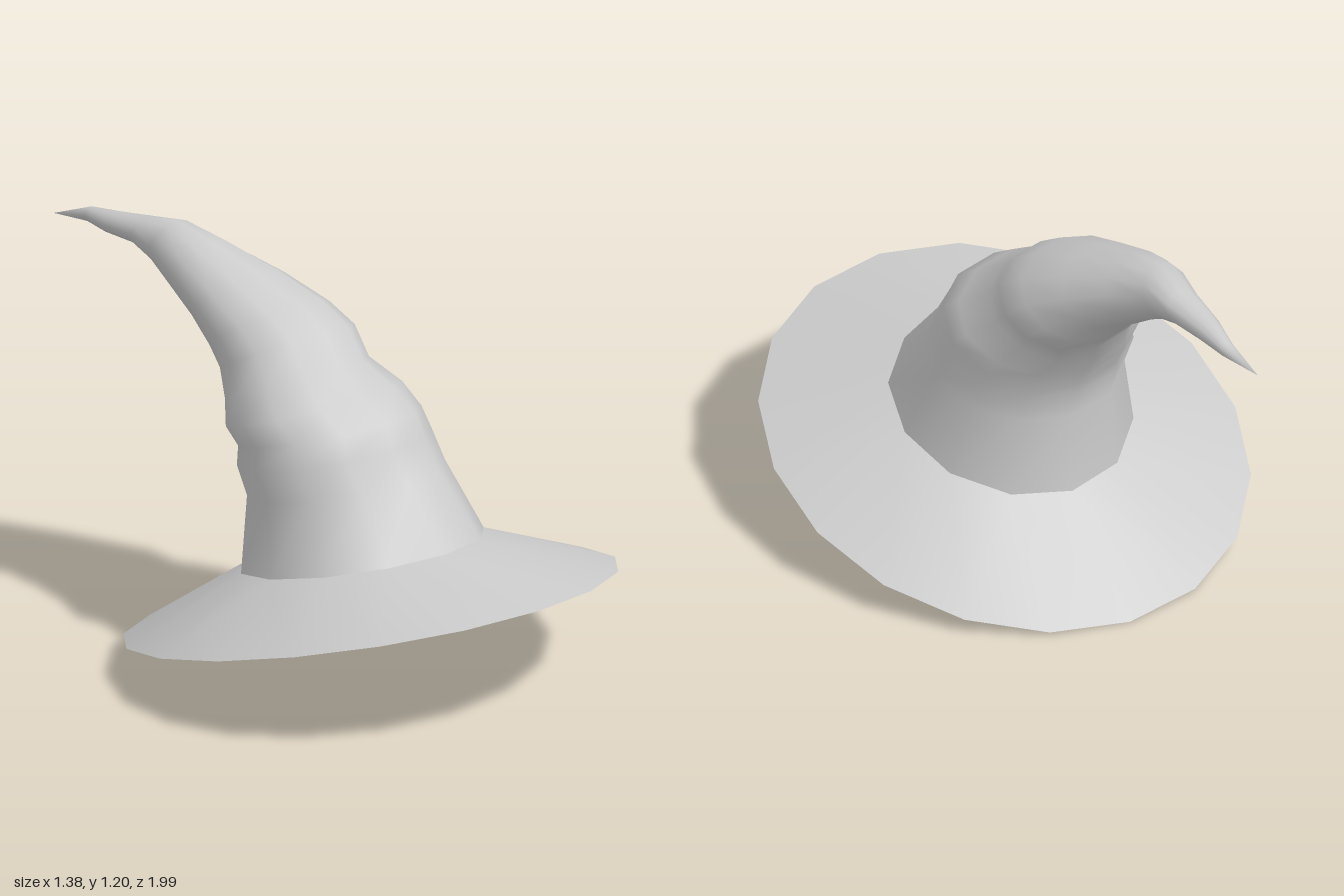
import * as THREE from 'three';

const SIDES = 12;
const material = new THREE.MeshStandardMaterial({ color: 0xcccccc, side: THREE.DoubleSide });

// Tilted elliptical ring: [front z, front y, back z, back y, min x, max x]
function ring([fz, fy, bz, by, x0, x1], count) {
  const points = [];
  for (let i = 0; i < count; i++) {
    const a = (i / count) * Math.PI * 2;
    const c = Math.cos(a);
    points.push(
      (x0 + x1) / 2 + ((x1 - x0) / 2) * Math.sin(a),
      (fy + by) / 2 + ((fy - by) / 2) * c,
      (fz + bz) / 2 + ((fz - bz) / 2) * c
    );
  }
  return points;
}

function makeMesh(name, positions, index) {
  const geometry = new THREE.BufferGeometry();
  geometry.setAttribute('position', new THREE.Float32BufferAttribute(positions, 3));
  geometry.setIndex(index);
  geometry.computeVertexNormals();
  const mesh = new THREE.Mesh(geometry, material);
  mesh.name = name;
  return mesh;
}

const BASE = [0.575, 0.457, -0.165, 0.255, -0.35, 0.35];

// Crown sections from the opening up to the bent tip
const CROWN = [
  BASE,
  [0.42, 0.63, -0.145, 0.50, -0.30, 0.29],
  [0.37, 0.72, -0.165, 0.59, -0.315, 0.275], // lower fold
  [0.33, 0.79, -0.18, 0.63, -0.29, 0.262],
  [0.24, 0.85, -0.20, 0.68, -0.305, 0.25], // upper fold
  [0.14, 0.915, -0.24, 0.74, -0.255, 0.19],
  [0.05, 0.99, -0.28, 0.81, -0.228, 0.20],
  [-0.04, 1.05, -0.32, 0.86, -0.22, 0.165],
  [-0.20, 1.11, -0.38, 0.93, -0.212, 0.105],
  [-0.36, 1.165, -0.48, 1.00, -0.20, 0.025],
  [-0.50, 1.195, -0.57, 1.05, -0.18, -0.03],
  [-0.62, 1.17, -0.66, 1.08, -0.165, -0.05],
  [-0.75, 1.15, -0.78, 1.08, -0.162, -0.082],
  [-0.87, 1.13, -0.87, 1.085, -0.145, -0.10],
];
const TIP = [-0.155, 1.08, -0.995];

function makeCrown() {
  const positions = CROWN.flatMap((section) => ring(section, SIDES));
  const index = [];
  const last = CROWN.length - 1;
  const tip = CROWN.length * SIDES;
  positions.push(...TIP);
  for (let r = 0; r <= last; r++) {
    for (let i = 0; i < SIDES; i++) {
      const a = r * SIDES + i;
      const b = r * SIDES + ((i + 1) % SIDES);
      if (r === last) index.push(a, b, tip);
      else index.push(a, b, b + SIDES, a, b + SIDES, a + SIDES);
    }
  }
  return makeMesh('crown', positions, index);
}

// Brim joins an 18-sided outer edge to the 12-sided opening
function makeBrim() {
  const outer = 18;
  const positions = [
    ...ring([0.995, 0.41, -0.51, 0, -0.70, 0.70], outer),
    ...ring(BASE, SIDES),
  ];
  const index = [];
  let i = 0;
  let j = 0;
  while (i < outer || j < SIDES) {
    const o = i % outer;
    const n = outer + (j % SIDES);
    if (j >= SIDES || (i < outer && (i + 1) / outer <= (j + 1) / SIDES)) {
      i++;
      index.push(o, i % outer, n);
    } else {
      j++;
      index.push(o, outer + (j % SIDES), n);
    }
  }
  return makeMesh('brim', positions, index);
}

export function createModel() {
  const hat = new THREE.Group();
  hat.name = 'pointedHat';
  hat.add(makeBrim(), makeCrown());
  return hat;
}
